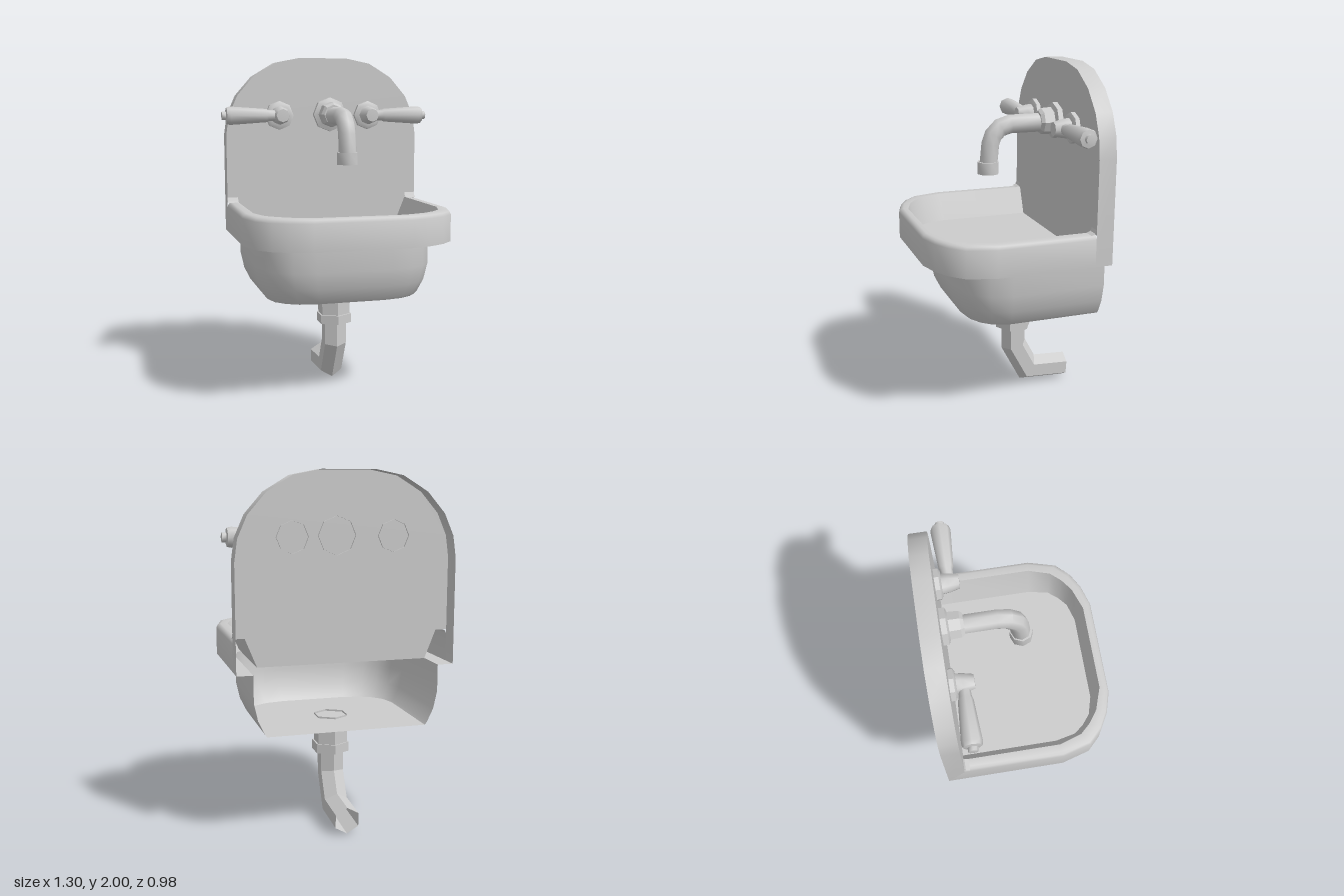
import * as THREE from 'three';
import { toCreasedNormals } from 'three/addons/utils/BufferGeometryUtils.js';

const ceramic = new THREE.MeshStandardMaterial({ color: 0xcccccc, side: THREE.DoubleSide });
ceramic.name = 'light grey';

function part(name, geometry, parent, crease = 0.6) {
  const mesh = new THREE.Mesh(toCreasedNormals(geometry, crease), ceramic);
  mesh.name = name;
  parent.add(mesh);
  return mesh;
}

// Skin between successive rows of points
function loft(rows) {
  const pos = [], index = [], n = rows[0].length;
  rows.forEach(row => row.forEach(p => pos.push(...p)));
  for (let r = 0; r < rows.length - 1; r++) {
    for (let i = 0; i < n - 1; i++) {
      const a = r * n + i, b = a + 1, d = a + n, c = d + 1;
      index.push(a, d, c, a, c, b);
    }
  }
  const g = new THREE.BufferGeometry();
  g.setAttribute('position', new THREE.Float32BufferAttribute(pos, 3));
  g.setIndex(index);
  g.computeVertexNormals();
  return g;
}

// U-shaped plan: back end, right corner, mirrored left corner
function plan(corner, back, y, inset = 0) {
  const maxX = corner[0][0], maxZ = corner[4][1];
  const kx = (maxX - inset) / maxX, kz = (maxZ - inset) / maxZ;
  const half = [[maxX * kx, y, back], ...corner.map(([x, z]) => [x * kx, y, z * kz])];
  return [...half, ...half.map(([x, h, z]) => [-x, h, z]).reverse()];
}
const spine = row => row.map(([, y, z]) => [0, y, z]);

// Pipe of mitred rings along a path of [z, y] points
function sweep(path, radius, sides) {
  const pts = path.map(([z, y]) => new THREE.Vector2(z, y));
  return loft(pts.map((p, i) => {
    const before = p.clone().sub(pts[Math.max(i - 1, 0)]).normalize();
    const after = pts[Math.min(i + 1, pts.length - 1)].clone().sub(p).normalize();
    const t = before.clone().add(after).normalize();
    const miter = radius / Math.max(t.dot(after), t.dot(before));
    return Array.from({ length: sides + 1 }, (_, k) => {
      const a = k / sides * Math.PI * 2, c = Math.cos(a) * miter;
      return [Math.sin(a) * radius, p.y + t.x * c, p.x - t.y * c];
    });
  }));
}

const lathe = (pts, sides = 8) =>
  new THREE.LatheGeometry(pts.map(p => new THREE.Vector2(...p)), sides);

export function createModel() {
  const model = new THREE.Group();
  model.name = 'wallSink';

  // Basin corners in plan, [x, z]
  const outer = [[0.61, 0.17], [0.565, 0.33], [0.49, 0.405], [0.4, 0.455], [0.28, 0.49]];
  const inner = [[0.545, 0.16], [0.505, 0.285], [0.45, 0.345], [0.38, 0.395], [0.25, 0.44]];
  const floor = [[0.48, 0.155], [0.455, 0.27], [0.41, 0.325], [0.355, 0.37], [0.25, 0.4]];
  const bowl = [[0.52, 0.05], [0.49, 0.17], [0.43, 0.245], [0.35, 0.295], [0.22, 0.32]];

  // Under-bowl, open at the wall
  const bowlRows = [[0.6, 0.07], [0.615, 0.058], [0.69, 0.022], [0.79, 0], [0.94, 0]]
    .map(([y, inset]) => plan(bowl, -0.49, y, inset));
  part('bowlShell', loft([spine(bowlRows[0]), ...bowlRows]), model, 0.75);

  // Rim with rounded top edge
  part('rim', loft([
    bowlRows[4],
    plan(outer, -0.49, 0.94),
    plan(outer, -0.39, 1.095),
    plan(outer, -0.39, 1.113, 0.008),
    plan(outer, -0.39, 1.12, 0.025),
    plan(inner, -0.39, 1.12),
  ]), model, 0.9);

  // Inner walls and floor
  const floorRow = plan(floor, -0.39, 0.96);
  part('basinWall', loft([plan(inner, -0.39, 1.12), floorRow]), model);
  part('basinFloor', loft([floorRow, spine(floorRow)]), model);

  // Arched backboard, hollow behind
  const arch = [[0.61, 1.53], [0.593, 1.65], [0.54, 1.77], [0.44, 1.885], [0.3, 1.97], [0.15, 2]];
  const mirror = pts => [...pts, ...pts.map(([x, y]) => [-x, y]).reverse()];
  const face = mirror([[0.48, 0.96], [0.545, 1.12], [0.61, 1.12], ...arch]);
  const faceGeometry = new THREE.ShapeGeometry(
    new THREE.Shape(face.map(p => new THREE.Vector2(...p))));
  part('backboardFace', faceGeometry.translate(0, 0, -0.39), model);
  const edge = mirror([[0.61, 0.94], ...arch]);
  part('backboardEdge', loft([-0.39, -0.49].map(z => edge.map(([x, y]) => [x, y, z]))), model);

  // Small fillets between rim and backboard
  for (const s of [-1, 1]) {
    const rows = [[1.15, -0.39], [1.13, -0.382], [1.12, -0.36]]
      .map(([y, z]) => [[s * 0.545, y, z], [s * 0.61, y, z]]);
    part('rimFillet', loft(s > 0 ? rows : rows.map(r => r.reverse())), model);
  }

  // Spout
  const spout = new THREE.Group();
  spout.name = 'spout';
  spout.position.x = 0.037;
  model.add(spout);
  part('spoutFlange', lathe([[0.105, -0.4], [0.105, -0.36], [0.078, -0.35], [0.075, -0.29],
    [0.06, -0.272], [0, -0.272]]).rotateX(Math.PI / 2).translate(0, 1.655, 0), spout, 0.5);
  part('spoutPipe', sweep([[-0.3, 1.648], [-0.1, 1.648], [-0.04, 1.63], [0, 1.59],
    [0.018, 1.54], [0.03, 1.42]], 0.054, 8), spout, 0.9);
  part('spoutNozzle', lathe([[0, 1.37], [0.064, 1.37], [0.064, 1.44], [0, 1.44]])
    .translate(0, 0, 0.032), spout, 0.9);

  // Lever taps, mirrored
  for (const [s, name] of [[1, 'leftTap'], [-1, 'rightTap']]) {
    const tap = new THREE.Group();
    tap.name = name;
    tap.scale.x = s;
    model.add(tap);
    part('tapFlange', lathe([[0.088, -0.4], [0.088, -0.365], [0.068, -0.355], [0, -0.355]])
      .rotateX(Math.PI / 2).translate(0.283, 1.65, 0), tap, 0.5);
    part('tapHub', lathe([[0.058, -0.36], [0.054, -0.32], [0.04, -0.262], [0, -0.26]])
      .rotateX(Math.PI / 2).translate(0.283, 1.65, 0), tap, 0.9);
    part('tapLever', lathe([[0.03, 0.29], [0.034, 0.36], [0.04, 0.375], [0.055, 0.595],
      [0.05, 0.618], [0.026, 0.622], [0.026, 0.645], [0, 0.648]])
      .rotateZ(-Math.PI / 2).translate(0, 1.65, -0.32), tap, 0.9);
  }

  // Hexagonal drain
  const drain = new THREE.Group();
  drain.name = 'drain';
  model.add(drain);
  part('drainTail', sweep([[-0.145, 0.61], [-0.145, 0.43]], 0.1, 6), drain);
  part('drainCollar', new THREE.CylinderGeometry(0.11, 0.11, 0.055, 6)
    .translate(0, 0.418, -0.142), drain);
  part('drainPipe', sweep([[-0.145, 0.4], [-0.145, 0.265], [-0.237, 0.092], [-0.48, 0.078]],
    0.0765, 6), drain, 0.4);

  return model;
}
